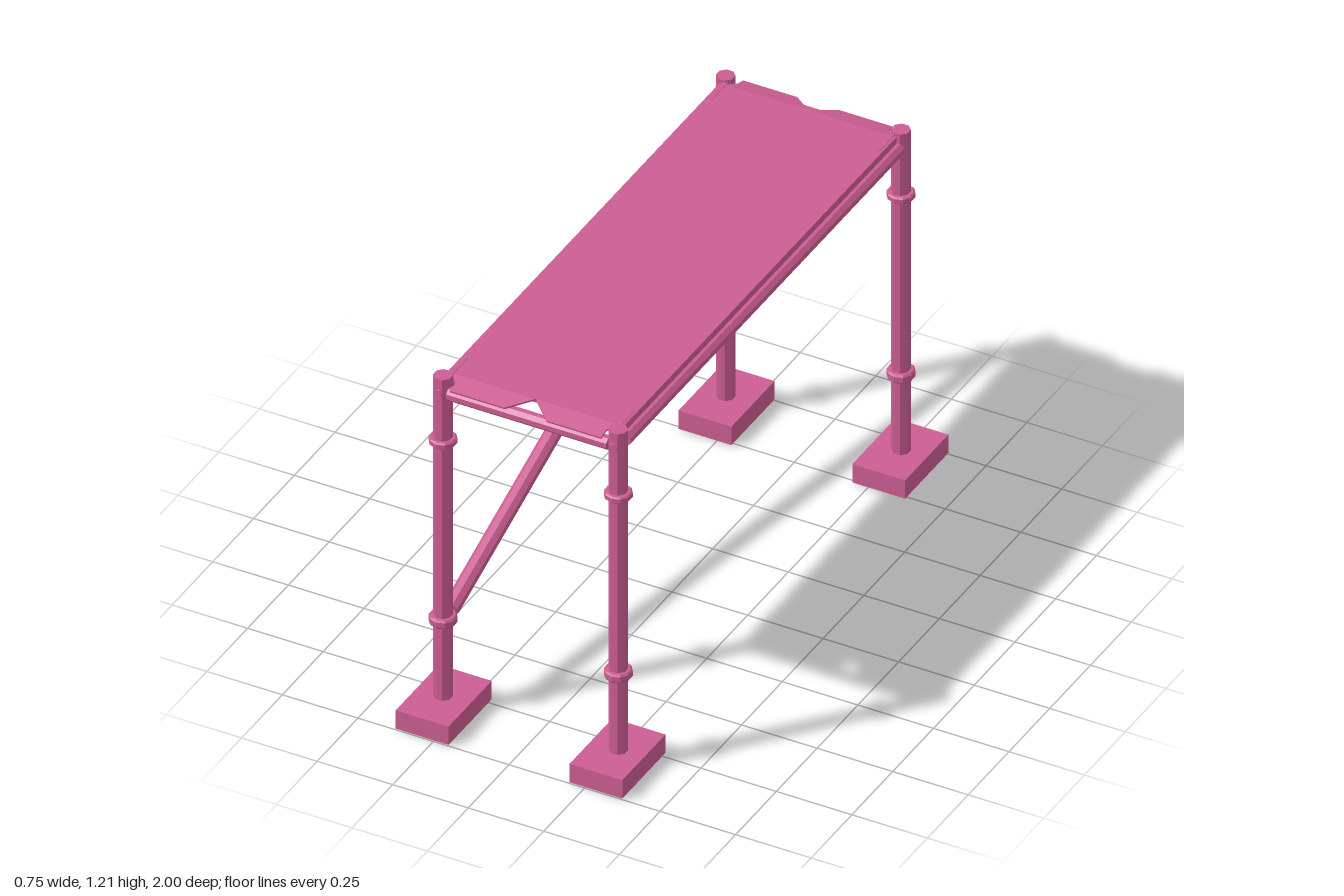
import * as THREE from 'three';

export function createModel() {
  const root = new THREE.Group();
  root.name = 'scaffoldPlatform';
  const mat = new THREE.MeshStandardMaterial({ color: 0xcc5d93, flatShading: true });
  const thin = mat.clone();
  thin.side = THREE.DoubleSide;

  const add = (name, geo, x = 0, y = 0, z = 0, m = mat) => {
    const mesh = new THREE.Mesh(geo, m);
    mesh.name = name;
    mesh.position.set(x, y, z);
    root.add(mesh);
    return mesh;
  };

  // Eight-sided tube between two points
  const up = new THREE.Vector3(0, 1, 0);
  const pipe = (name, a, b, r) => {
    const p = new THREE.Vector3(...a), q = new THREE.Vector3(...b);
    const d = q.clone().sub(p);
    const geo = new THREE.CylinderGeometry(r, r, d.length(), 8);
    geo.rotateY(Math.PI / 8);
    const mesh = add(name, geo);
    mesh.position.copy(p).add(q).multiplyScalar(0.5);
    mesh.quaternion.setFromUnitVectors(up, d.normalize());
    return mesh;
  };

  const PX = 0.29, PZ = 0.867;

  // Collar with bevelled rims
  const collarGeo = new THREE.LatheGeometry(
    [[0.027, -0.015], [0.038, -0.015], [0.043, -0.009], [0.043, 0.009], [0.038, 0.015], [0.027, 0.015]]
      .map(([r, y]) => new THREE.Vector2(r, y)), 10);

  // Posts, base blocks and collars at the four corners
  for (const sx of [-1, 1]) for (const sz of [-1, 1]) {
    const x = sx * PX, z = sz * PZ;
    pipe('post', [x, 0.003, z], [x, 1.21, z], 0.029);
    add('baseBlock', new THREE.BoxGeometry(0.175, 0.065, 0.265), sx * 0.2875, 0.0395, sz * 0.8675);
    add('lowerCollar', collarGeo, x, 0.347, z);
    add('upperCollar', collarGeo, x, 0.981, z).scale.y = 0.75;
    // Rail pins through the post top
    pipe('railPin', [x, 1.162, z - sz * 0.03], [x, 1.162, z + sz * 0.035], 0.014);
    // Deck latch beside the post
    add('deckLatch', new THREE.BoxGeometry(0.012, 0.014, 0.12), sx * 0.277, 1.197, sz * 0.81);
  }

  // Side rails and end rails
  for (const s of [-1, 1]) {
    pipe('sideRail', [s * 0.294, 1.157, -0.84], [s * 0.294, 1.157, 0.84], 0.023);
    pipe('endRail', [-0.265, 1.157, s * 0.875], [0.265, 1.157, s * 0.875], 0.022);
  }

  // Middle cross bar under the deck
  add('crossBar', new THREE.BoxGeometry(0.56, 0.03, 0.035), 0, 1.165, 0);

  // Deck plate with shallow side lips
  add('deckPlate', new THREE.BoxGeometry(0.58, 0.014, 1.67), 0, 1.195, 0);
  for (const s of [-1, 1]) {
    add('deckSideLip', new THREE.BoxGeometry(0.01, 0.03, 1.67), s * 0.287, 1.187, 0);
  }

  // Sloping end hooks, notched in the middle, resting over the end rails
  const hook = new THREE.Shape([
    [-0.28, 0], [0.28, 0], [0.25, 0.035], [0.25, 0.068], [0.07, 0.068],
    [0, 0.003], [-0.07, 0.068], [-0.25, 0.068], [-0.25, 0.035],
  ].map(([x, y]) => new THREE.Vector2(x, y)));
  const hookGeo = new THREE.ExtrudeGeometry(hook, { depth: 0.006, bevelEnabled: false });
  hookGeo.rotateX(Math.PI / 2);
  for (const s of [-1, 1]) {
    const holder = new THREE.Group();
    holder.name = 'endHook';
    holder.position.set(0, 1.202, s * 0.833);
    holder.rotation.y = s > 0 ? 0 : Math.PI;
    const flap = new THREE.Mesh(hookGeo, thin);
    flap.name = 'hookFlap';
    flap.rotation.x = 0.25;
    holder.add(flap);
    root.add(holder);
  }

  // Diagonal brace on one long side
  pipe('diagonalBrace', [-PX, 0.35, 0.82], [-PX, 0.981, -0.835], 0.026);

  return root;
}
